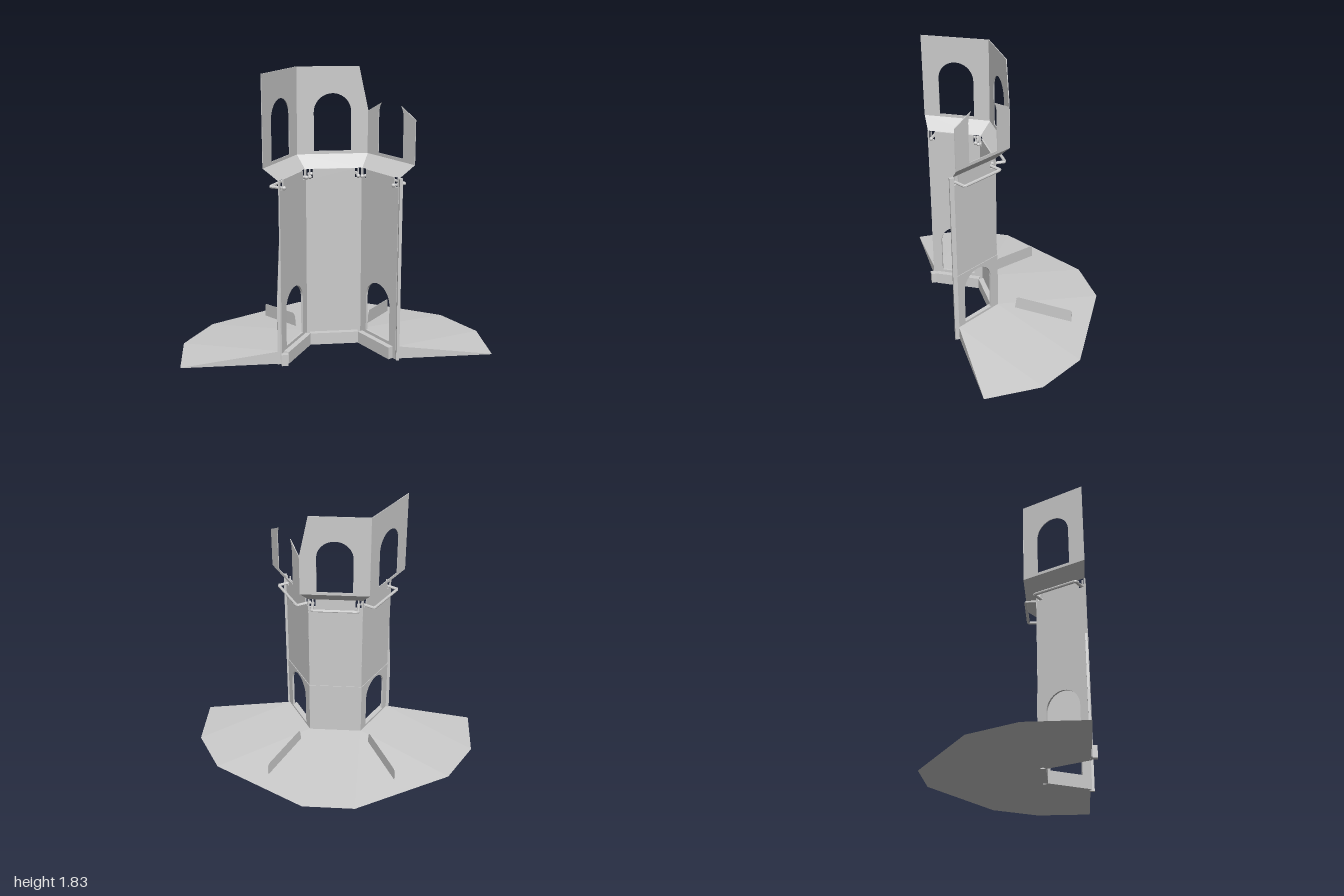
import * as THREE from 'three';

const CENTRE_Z = 0.51; // centre of the half hexagon
const LOW = 0.32;      // apothem of the shaft
const HIGH = 0.40;     // apothem of the lookout
const grey = new THREE.MeshStandardMaterial({ color: 0xcccccc, flatShading: true, side: THREE.DoubleSide });

function add(parent, name, geometry, x = 0, y = 0, z = 0) {
  const mesh = new THREE.Mesh(geometry, grey);
  mesh.name = name;
  mesh.position.set(x, y, z);
  parent.add(mesh);
  return mesh;
}

const polygon = (pts) => new THREE.Shape(pts.map(([x, y]) => new THREE.Vector2(x, y)));

// Round-topped opening, 0.24 wide
function arch(bottom, spring, r = 0.12) {
  const p = new THREE.Path();
  p.moveTo(-r, bottom);
  p.lineTo(r, bottom);
  p.lineTo(r, spring);
  p.absarc(0, spring, r, 0, Math.PI, false);
  p.lineTo(-r, bottom);
  return p;
}

// Thin wall whose outer face lies at the given apothem
function wall(parent, name, shape, apothem, t = 0.01) {
  const g = new THREE.ExtrudeGeometry(shape, { depth: t, bevelEnabled: false, curveSegments: 16 });
  return add(parent, name, g, 0, 0, apothem - t);
}

// Surface between two rows of points
function strip(a, b) {
  const pos = [];
  for (let i = 0; i < a.length - 1; i++)
    pos.push(...a[i], ...b[i], ...b[i + 1], ...a[i], ...b[i + 1], ...a[i + 1]);
  const g = new THREE.BufferGeometry();
  g.setAttribute('position', new THREE.Float32BufferAttribute(pos, 3));
  g.computeVertexNormals();
  return g;
}

// Upper wall outlines: +u runs to -x on the back wall, to the back on the left wall
const backTop = polygon([[-0.23, 1.27], [0.23, 1.27], [0.23, 1.83], [-0.17, 1.83], [-0.23, 1.55]]);
const rightTop = polygon([[-0.23, 1.27], [0.23, 1.27], [0.23, 1.83], [-0.23, 1.83]]);
for (const s of [backTop, rightTop]) s.holes.push(arch(1.29, 1.54));

// Broken wall: gable cut through the top of its window
const leftTop = polygon([[-0.23, 1.545], [-0.23, 1.27], [0.23, 1.27], [0.23, 1.545], [0.096, 1.612]]);
leftTop.absarc(0, 1.54, 0.12, Math.atan2(0.072, 0.096), 0, true);
leftTop.lineTo(0.12, 1.29);
leftTop.lineTo(-0.12, 1.29);
leftTop.lineTo(-0.12, 1.54);
leftTop.absarc(0, 1.54, 0.12, Math.PI, Math.PI - Math.atan2(0.072, 0.096), true);

function towerSide(name, angle, top, door) {
  const side = new THREE.Group();
  side.name = name;
  side.rotation.y = angle;
  side.position.z = CENTRE_Z;

  // Lower wall, slightly proud of the upper shaft
  const base = polygon([[-0.187, 0], [0.187, 0], [0.187, 0.48], [-0.187, 0.48]]);
  if (door) base.holes.push(arch(0.1, 0.34));
  wall(side, 'lowerWall', base, LOW + 0.004, 0.014);

  // Shaft with notches for the rail
  wall(side, 'shaftWall', polygon([
    [-0.185, 0.48], [0.185, 0.48], [0.185, 1.19], [0.175, 1.19], [0.175, 1.13], [0.135, 1.13],
    [0.135, 1.19], [-0.135, 1.19], [-0.135, 1.13], [-0.175, 1.13], [-0.175, 1.19], [-0.185, 1.19],
  ]), LOW);

  // Flared corbel and lookout wall
  add(side, 'corbel', strip(
    [[-0.185, 1.19, LOW], [0.185, 1.19, LOW]], [[-0.231, 1.27, HIGH], [0.231, 1.27, HIGH]]));
  wall(side, 'lookoutWall', top, HIGH, 0.005);

  // Inner plinth
  add(side, 'plinth', new THREE.BoxGeometry(0.32, 0.08, 0.045), 0, 0.04, LOW - 0.0225);

  // U-shaped rail passing through the notches
  const pts = [[-0.155, 0.295], [-0.155, 0.39], [0.155, 0.39], [0.155, 0.295]]
    .map(([u, d]) => new THREE.Vector3(u, 1.143, d));
  const path = new THREE.CurvePath();
  for (let i = 0; i < 3; i++) path.add(new THREE.LineCurve3(pts[i], pts[i + 1]));
  add(side, 'rail', new THREE.TubeGeometry(path, 48, 0.01, 8));
  for (const s of [-1, 1]) {
    add(side, 'railEnd', new THREE.SphereGeometry(0.013, 10, 8), s * 0.155, 1.143, 0.295);
    add(side, 'railHanger', new THREE.BoxGeometry(0.008, 0.05, 0.008), s * 0.155, 1.168, 0.3);
  }
  return side;
}

export function createModel() {
  const model = new THREE.Group();
  model.name = 'ruinedTower';
  const third = (2 * Math.PI) / 3;
  model.add(towerSide('backSide', Math.PI, backTop, false));
  model.add(towerSide('leftSide', third, leftTop, true));
  model.add(towerSide('rightSide', -third, rightTop, true));

  // Sloping ground around the tower
  const outer = [[-1, 0.505], [-1, 0.13], [-0.82, -0.18], [-0.18, -0.545],
    [0.18, -0.545], [0.82, -0.18], [1, 0.13], [1, 0.505]];
  const foot = [[-0.37, 0.505], [-0.185, 0.19], [0.185, 0.19], [0.37, 0.505]];
  const inner = outer.map((_, i) => foot[i >> 1]);
  const at = (row, y) => row.map(([x, z]) => [x, y, z]);
  add(model, 'ground', strip(at(outer, 0.002), at(inner, 0.085)));
  add(model, 'groundUnderside', strip(at(inner, 0), at(outer, 0)));
  for (const s of [-1, 1])
    add(model, 'groundEnd', strip([[s, 0, 0.505], [s * 0.37, 0, 0.505]], [[s, 0.002, 0.505], [s * 0.37, 0.085, 0.505]]));

  // Thin upright fins on the slope
  const fin = new THREE.Shape();
  fin.moveTo(0, 0.075);
  fin.lineTo(0.394, 0.02);
  fin.lineTo(0.394, 0.09);
  fin.quadraticCurveTo(0.394, 0.108, 0.375, 0.112);
  fin.lineTo(0.035, 0.159);
  fin.quadraticCurveTo(0.015, 0.16, 0.01, 0.14);
  const finGeometry = new THREE.ExtrudeGeometry(fin, { depth: 0.004, bevelEnabled: false });
  finGeometry.translate(0, 0, -0.002);
  for (const s of [-1, 1])
    add(model, 'fin', finGeometry, s * 0.245, 0, 0.082).rotation.y = s > 0 ? Math.PI / 3 : third;

  // Post and batten on the open edges, small footing block
  add(model, 'edgePost', new THREE.BoxGeometry(0.02, 1.19, 0.028), 0.375, 0.595, 0.52);
  const batten = polygon([[-0.365, 0], [-0.365, 0.8], [-0.37, 0.8], [-0.388, 0.42], [-0.39, 0]]);
  add(model, 'edgeBatten', new THREE.ExtrudeGeometry(batten, { depth: 0.015, bevelEnabled: false }), 0, 0, 0.497);
  add(model, 'footingBlock', new THREE.BoxGeometry(0.042, 0.075, 0.042), -0.345, 0.0375, 0.522);
  return model;
}
